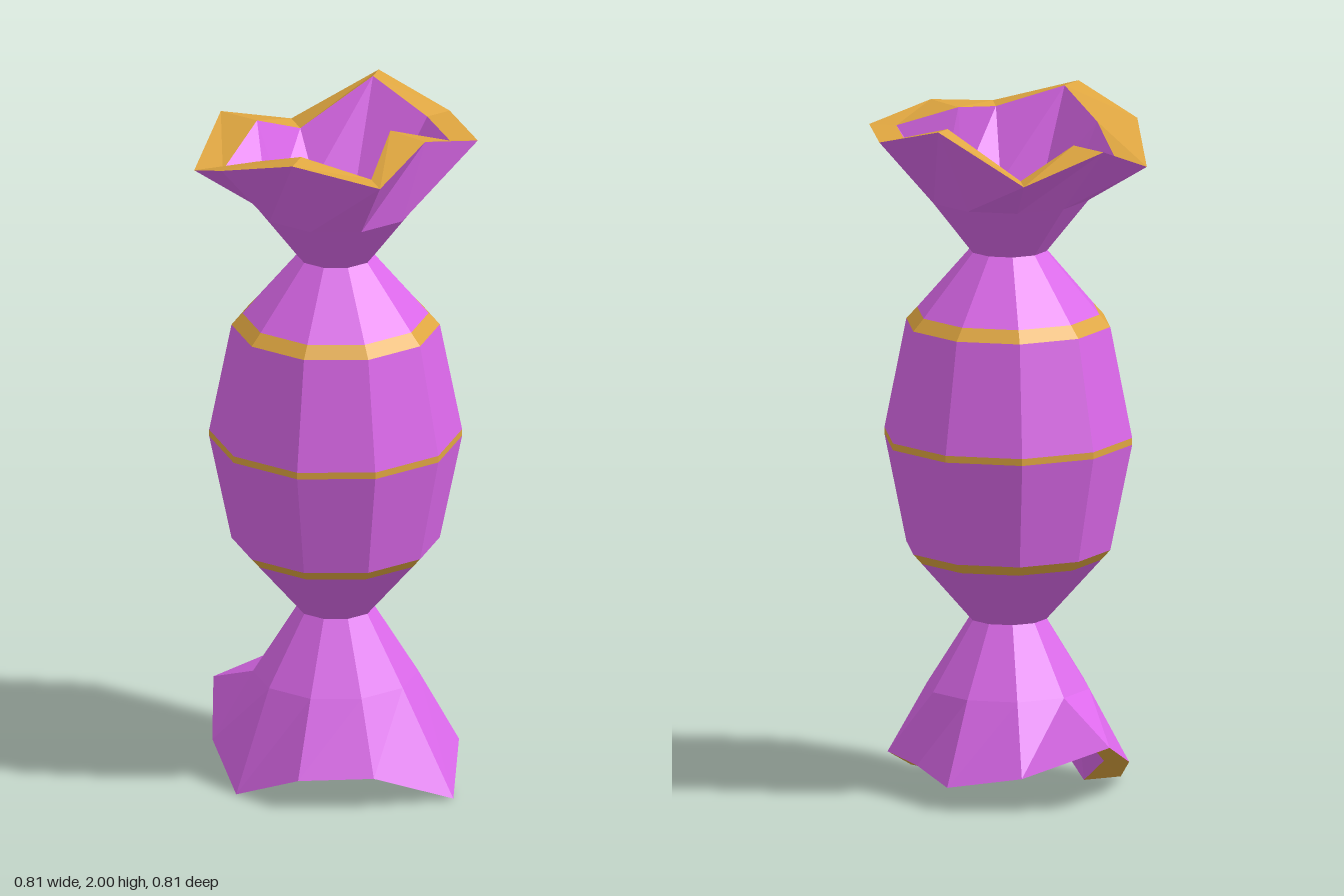
import * as THREE from 'three';

const SIDES = 10;
const purple = new THREE.MeshStandardMaterial({ color: 0xdb68ea, flatShading: true });
const gold = new THREE.MeshStandardMaterial({ color: 0xdfa640, flatShading: true });

// Ring of ten points; radius and height are numbers or one value per corner
function ring(radius, height) {
  const at = (v, k) => (Array.isArray(v) ? v[k] : v);
  return Array.from({ length: SIDES }, (_, k) => {
    const a = (k * Math.PI * 2) / SIDES;
    const r = at(radius, k);
    return new THREE.Vector3(r * Math.sin(a), at(height, k), r * Math.cos(a));
  });
}

// Faceted skin through a list of rings, facing outward when the rings go up
function loft(name, material, rings) {
  const pos = [];
  const tri = (a, b, c) => {
    if (a.distanceTo(b) > 1e-6 && b.distanceTo(c) > 1e-6 && c.distanceTo(a) > 1e-6) {
      for (const p of [a, b, c]) pos.push(p.x, p.y, p.z);
    }
  };
  for (let i = 0; i < rings.length - 1; i++) {
    const lo = rings[i], hi = rings[i + 1];
    for (let k = 0; k < SIDES; k++) {
      const n = (k + 1) % SIDES;
      tri(lo[k], lo[n], hi[n]);
      tri(lo[k], hi[n], hi[k]);
    }
  }
  const geometry = new THREE.BufferGeometry();
  geometry.setAttribute('position', new THREE.Float32BufferAttribute(pos, 3));
  geometry.computeVertexNormals();
  const mesh = new THREE.Mesh(geometry, material);
  mesh.name = name;
  return mesh;
}

export function createModel() {
  const model = new THREE.Group();
  model.name = 'wrappedCandy';

  // Barrel body: alternating wrapper panels and gold bands
  const profile = [
    [0.112, 0.5], [0.272, 0.68], [0.299, 0.71], [0.363, 1.022],
    [0.363, 1.042], [0.299, 1.365], [0.267, 1.4], [0.112, 1.58],
  ];
  for (let i = 0; i < profile.length - 1; i++) {
    const band = i % 2 === 1;
    model.add(loft(band ? 'goldBand' : 'bodyPanel', band ? gold : purple,
      [ring(...profile[i]), ring(...profile[i + 1])]));
  }

  // Top flare: outer skin, gold cut edge, inner skin closed at the neck
  const topY = [1.93, 2, 1.93, 1.98, 1.93, 1.93, 2, 1.85, 1.93, 1.84];
  const topOuter = ring([0.406, 0.406, 0.406, 0.293, 0.408, 0.406, 0.406, 0.406, 0.406, 0.406], topY);
  const topInner = ring([0.28, 0.326, 0.326, 0.15, 0.328, 0.326, 0.352, 0.324, 0.278, 0.324], topY);
  // The folded-in corner does not lie on the even spacing
  topOuter[3].set(0.264, 1.98, -0.125);
  topInner[3].set(0.132, 1.98, -0.098);
  model.add(
    loft('topFlareOutside', purple, [ring(0.112, 1.58), ring(0.235, 1.735), topOuter]),
    loft('topFlareEdge', gold, [topOuter, topInner]),
    loft('topFlareInside', purple, [topInner, ring(0.197, 1.735), ring(0.1, 1.6), ring(0, 1.6)]),
  );

  // Bottom flare, built the same way and opening downward
  const lowY = [0, 0.09, 0.095, 0, 0.09, 0.09, 0.065, 0.1, 0.185, 0.09];
  const lowOuter = ring([0.354, 0.354, 0.35, 0.416, 0.354, 0.288, 0.354, 0.354, 0.432, 0.354], lowY);
  const lowInner = ring([0.238, 0.28, 0.275, 0.33, 0.28, 0.225, 0.275, 0.275, 0.345, 0.28], lowY);
  model.add(
    loft('bottomFlareOutside', purple, [lowOuter, ring(0.237, 0.3), ring(0.112, 0.5)]),
    loft('bottomFlareEdge', gold, [lowInner, lowOuter]),
    loft('bottomFlareInside', purple, [ring(0, 0.48), ring(0.1, 0.48), ring(0.197, 0.3), lowInner]),
  );

  for (const part of model.children) part.position.x = 0.006;
  return model;
}
